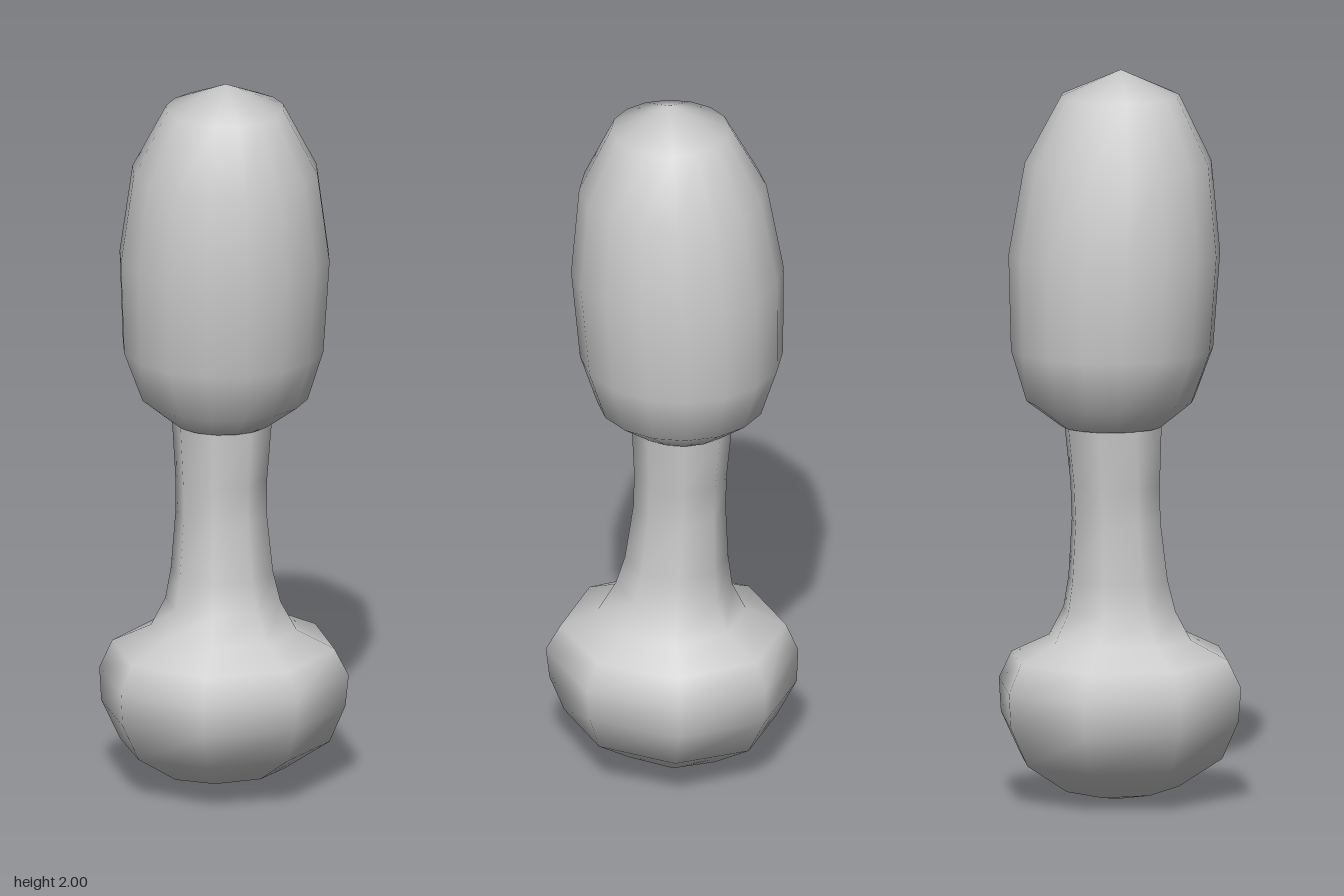
import * as THREE from 'three';
import { mergeVertices } from 'three/addons/utils/BufferGeometryUtils.js';

const material = new THREE.MeshStandardMaterial({ color: 0xcccccc });

// Smooth loft through rings listed bottom to top: [radius, y, centreX, centreZ, tilt].
// Tilt raises the ring's +x side.
function loft(name, sides, rings) {
  const positions = [];
  const index = [];
  rings.forEach(([r, y, cx = 0, cz = 0, tilt = 0], i) => {
    for (let j = 0; j < sides; j++) {
      const a = (j / sides) * Math.PI * 2;
      const x = r * Math.cos(a);
      positions.push(cx + x, y + x * tilt, cz + r * Math.sin(a));
      if (i === rings.length - 1) continue;
      const k = (j + 1) % sides;
      const p = i * sides + j, q = i * sides + k;
      if (rings[i + 1][0] > 0) index.push(p, p + sides, q, q, p + sides, q + sides);
      else index.push(p, p + sides, q);
    }
  });
  let geometry = new THREE.BufferGeometry();
  geometry.setAttribute('position', new THREE.Float32BufferAttribute(positions, 3));
  geometry.setIndex(index);
  geometry = mergeVertices(geometry); // welds the poles
  geometry.computeVertexNormals();
  const mesh = new THREE.Mesh(geometry, material);
  mesh.name = name;
  return mesh;
}

export function createModel() {
  const group = new THREE.Group();
  group.name = 'handle';

  // Octagonal, slightly tilted foot flowing into the waisted stem
  group.add(loft('footAndStem', 8, [
    [0, 0.005],
    [0.165, 0.045, 0.005, 0, 0.09],
    [0.287, 0.126, 0.005, 0, 0.06],
    [0.335, 0.23, -0.003, 0, 0.045],
    [0.342, 0.322, 0, 0, 0.03],
    [0.305, 0.397, -0.003, 0, 0.02],
    [0.2, 0.447, 0, 0, 0.02],
    [0.158, 0.525, -0.005, 0, 0.03],
    [0.14, 0.61, -0.012, -0.002],
    [0.125, 0.77, -0.02, -0.005],
    [0.126, 0.87, -0.023, -0.007],
    [0.137, 1.03, -0.027, -0.012],
    [0.137, 1.08, -0.027, -0.012],
  ]));

  // Rounded grip, leaning gently as it rises
  group.add(loft('grip', 16, [
    [0, 1.03, -0.027, -0.015],
    [0.137, 1.03, -0.027, -0.015],
    [0.228, 1.1, -0.025, -0.02],
    [0.275, 1.24, -0.025, -0.015],
    [0.288, 1.5, -0.014, -0.012],
    [0.254, 1.75, -0.002, -0.005],
    [0.161, 1.93, 0.004, -0.001],
    [0, 2, 0.008, 0],
  ]));

  return group;
}
